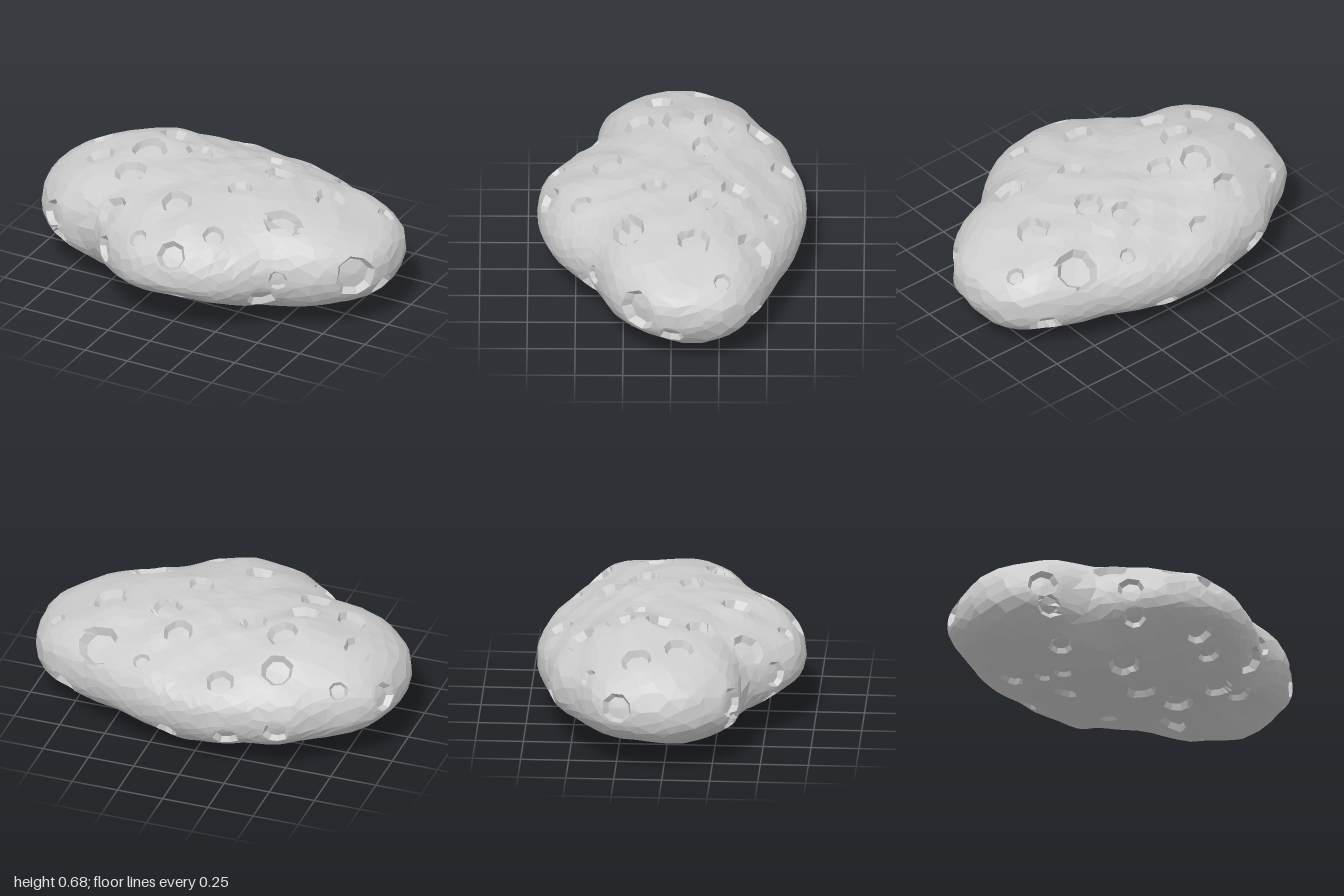
import * as THREE from 'three';
import { ConvexGeometry } from 'three/addons/geometries/ConvexGeometry.js';

const V = (x, y, z) => new THREE.Vector3(x, y, z);
const { lerp, clamp, radToDeg } = THREE.MathUtils;
const MID = 0.35;
const POWER = 2.3;
const STEPS = 2000;

// Plan outline, x and z
const outline = [
  [0.995, -0.12], [0.97, 0.08], [0.86, 0.23], [0.75, 0.33], [0.53, 0.42], [0.4, 0.54], [0.25, 0.64],
  [0, 0.7], [-0.22, 0.67], [-0.37, 0.57], [-0.56, 0.4], [-0.72, 0.38], [-0.82, 0.34], [-0.95, 0.19],
  [-1, 0], [-0.95, -0.29], [-0.9, -0.37], [-0.72, -0.48], [-0.56, -0.6], [-0.4, -0.64],
  [-0.17, -0.7], [0.09, -0.69], [0.35, -0.62], [0.57, -0.53], [0.83, -0.42], [0.94, -0.31],
];

// Craters by the side they are cast from: two coordinates across that side, then radius
const craterSpots = {
  top: [[-0.17, -0.58, 0.075], [-0.44, -0.45, 0.085], [-0.39, -0.24, 0.085], [-0.21, -0.17, 0.07],
    [-0.78, -0.15, 0.08], [-0.43, -0.03, 0.09], [-0.66, 0.07, 0.08], [-0.43, 0.17, 0.085],
    [-0.42, 0.42, 0.09], [-0.07, 0.34, 0.085], [0.29, -0.52, 0.045], [0.15, -0.33, 0.08],
    [0.56, -0.44, 0.11], [0.27, -0.17, 0.08], [0.6, -0.12, 0.09], [0.17, 0.09, 0.07],
    [0.5, 0.23, 0.095], [0.22, 0.47, 0.06], [0.84, -0.27, 0.05], [-0.76, -0.4, 0.05]],
  front: [[-0.8, 0.38, 0.08], [-0.76, 0.26, 0.06], [-0.38, 0.38, 0.07], [-0.6, 0.12, 0.06],
    [0.04, 0.23, 0.07], [0.17, 0.18, 0.06], [0.48, 0.25, 0.08], [0.52, 0.13, 0.06],
    [0.06, 0.49, 0.08], [-0.34, 0.24, 0.06], [-0.16, 0.52, 0.05], [0.56, 0.36, 0.05]],
  right: [[0.17, 0.36, 0.11], [0, 0.25, 0.07], [-0.42, 0.23, 0.09]],
  left: [[-0.24, 0.4, 0.08]],
  back: [[0.12, 0.2, 0.07], [-0.23, 0.25, 0.07], [-0.3, 0.15, 0.06], [-0.49, 0.3, 0.07]],
  bottom: [[-0.31, -0.14, 0.06], [-0.58, -0.25, 0.06], [0.25, 0.08, 0.075], [0.35, -0.12, 0.07],
    [-0.01, 0.12, 0.08], [0.07, -0.3, 0.045], [0.37, 0.27, 0.07], [-0.5, -0.08, 0.045],
    [-0.47, 0.06, 0.05], [-0.22, 0.27, 0.08]],
};
const rays = {
  top: (a, b, t) => V(a, t, b), bottom: (a, b, t) => V(a, -t, b),
  front: (a, b, t) => V(a, b, t), back: (a, b, t) => V(a, b, -t),
  right: (a, b, t) => V(t, b, a), left: (a, b, t) => V(-t, b, a),
};

// Seeded random numbers
function makeRandom(seed) {
  return () => (seed = (seed * 16807) % 2147483647) / 2147483647;
}

// Radius of the outline by angle: sharp at the rim, softened further in
const radii = new Array(360).fill(0);
const curve = new THREE.CatmullRomCurve3(outline.map(([x, z]) => V(x, 0, z)), true);
for (const p of curve.getPoints(3000)) {
  radii[Math.floor(radToDeg(Math.atan2(p.z, p.x)) + 360) % 360] = Math.hypot(p.x, p.z);
}
const softRadii = radii.map((_, i) => {
  let sum = 0;
  for (let k = -16; k <= 16; k++) sum += radii[(i + k + 360) % 360];
  return sum / 33;
});
function radiusAt(angle, r) {
  const d = (radToDeg(angle) + 359.5) % 360;
  const i = Math.floor(d), j = (i + 1) % 360;
  const soft = lerp(softRadii[i], softRadii[j], d - i);
  return lerp(soft, lerp(radii[i], radii[j], d - i), Math.min(1, r / soft) ** 2);
}

// Rounded side profile from rim to pole, with the sphere latitude that keeps shapes
// undistorted and the running area, so the skin can be joined up evenly on a sphere
const profile = (t) => [Math.cos(t) ** (2 / POWER), Math.sin(t) ** (2 / POWER)];
const latitudes = [0], areas = [0];
for (let i = 1, psi = 0; i <= STEPS; i++) {
  const [r0, v0] = profile(((i - 1) / STEPS) * Math.PI / 2);
  const [r1, v1] = profile((i / STEPS) * Math.PI / 2);
  const length = Math.hypot(r1 - r0, (v1 - v0) * 0.38), r = (r0 + r1) / 2;
  psi += length / r;
  latitudes.push(i < STEPS ? Math.atan(Math.sinh(psi)) : Math.PI / 2);
  areas.push(areas[i - 1] + length * r);
}
function findStep(table, value) {
  let low = 0, high = STEPS;
  while (high - low > 1) {
    const m = (low + high) >> 1;
    if (table[m] > value) high = m; else low = m;
  }
  return low + clamp((value - table[low]) / (table[high] - table[low]), 0, 1);
}
function latitudeAt(step) {
  const i = Math.min(Math.floor(step), STEPS - 1);
  return lerp(latitudes[i], latitudes[i + 1], step - i);
}
const direction = (lat, angle) => V(Math.cos(lat) * Math.cos(angle), Math.sin(lat), Math.cos(lat) * Math.sin(angle));

// Half height above or below the middle, with humps and hollows
const hump = (x, z, cx, cz, w, d) => Math.exp(-(((x - cx) / w) ** 2) - ((z - cz) / d) ** 2);
function heightAt(x, z, up) {
  if (up) {
    return 0.315 + 0.075 * hump(x, z, -0.52, -0.17, 0.2, 0.28) + 0.06 * hump(x, z, -0.88, -0.02, 0.24, 0.35)
      - 0.05 * hump(x, z, 0.1, -0.55, 0.6, 0.2) - 0.02 * hump(x, z, 0.85, -0.1, 0.2, 0.5);
  }
  return 0.285 + 0.07 * hump(x, z, 0.53, -0.17, 0.13, 0.2) + 0.075 * hump(x, z, 0.82, -0.12, 0.28, 0.35)
    + 0.03 * hump(x, z, -0.5, 0.1, 0.4, 0.3) + 0.04 * hump(x, z, -0.1, -0.6, 0.5, 0.2)
    - 0.1 * hump(x, z, 0, 0.7, 0.5, 0.28);
}

// Gentle lumps over the sphere of directions, fading at the rim
const lumps = (d) => 1 + Math.min(1, 2 * Math.abs(d.y)) * (
  0.02 * Math.sin(7 * d.x + 3 * d.z + 1) * Math.cos(6 * d.z - 5 * d.y)
  + 0.024 * Math.sin(12 * d.x - 4 * d.y + 2) * Math.sin(11 * d.z + 9 * d.y));

// Unit direction to rock surface
function surface(d) {
  const t = (findStep(latitudes, Math.asin(Math.min(1, Math.abs(d.y)))) / STEPS) * Math.PI / 2;
  const [rho, v] = profile(t);
  const f = lumps(d), angle = Math.atan2(d.z, d.x);
  let r = rho;
  for (let i = 0; i < 8; i++) r = rho * f * radiusAt(angle, r);
  const x = r * Math.cos(angle), z = r * Math.sin(angle);
  return V(x, MID + Math.sign(d.y) * v * f * heightAt(x, z, d.y > 0), z);
}
// Any point to its unit direction, and how far out it lies (1 on the surface)
function unwrap(p) {
  const r = Math.hypot(p.x, p.z), angle = Math.atan2(p.z, p.x);
  const rho = r / radiusAt(angle, r);
  const v = Math.abs(p.y - MID) / heightAt(p.x, p.z, p.y > MID);
  const t = Math.atan2(v ** (POWER / 2), rho ** (POWER / 2));
  const d = direction(latitudeAt((t / (Math.PI / 2)) * STEPS) * Math.sign(p.y - MID), angle);
  return { d, level: (rho ** POWER + v ** POWER) ** (1 / POWER) / lumps(d) };
}

function makeCrater(side, [a, b, radius]) {
  let t = 1.3;
  while (t > -0.5 && unwrap(rays[side](a, b, t)).level > 1) t -= 0.004;
  const center = surface(unwrap(rays[side](a, b, t)).d);
  const e = 0.04;
  const slope = (x, y, z) => unwrap(center.clone().add(V(x, y, z))).level - unwrap(center.clone().sub(V(x, y, z))).level;
  const normal = V(slope(e, 0, 0), slope(0, e, 0), slope(0, 0, e)).normalize();
  const spin = new THREE.Quaternion().setFromUnitVectors(V(0, 0, 1), normal);
  return { center, normal, radius, spin };
}

function makeRock() {
  const random = makeRandom(4711);
  const craters = Object.entries(craterSpots).flatMap(([side, list]) => list.map((c) => makeCrater(side, c)));
  const points = [];

  // Floor, rim and apron of each crater: polygons with a point at each corner and mid-edge
  craters.forEach((c, i) => {
    const sides = 8;
    const corners = Array.from({ length: sides }, (_, k) => {
      const angle = ((k + random() * 0.3) / sides) * Math.PI * 2;
      return V(Math.cos(angle), Math.sin(angle), 0).multiplyScalar(c.radius * (0.97 + random() * 0.1));
    });
    const ring = corners.flatMap((p, k) => [p, p.clone().lerp(corners[(k + 1) % sides], 0.5)]);
    for (const scale of [0.74, 1, 1.25]) {
      for (const corner of ring) {
        const p = corner.clone().multiplyScalar(scale).applyQuaternion(c.spin).add(c.center);
        const { d } = unwrap(p);
        const q = surface(d);
        const blocked = craters.some((o, j) => (j < i || (scale > 1 && j > i)) && q.distanceTo(o.center) < o.radius * 1.08);
        if (!blocked) points.push(d);
      }
    }
    points.push(unwrap(c.center).d);
  });

  // Even scatter over the rest of the rock
  const count = 1300;
  for (let i = 0; i < count; i++) {
    const s = 1 - (2 * (i + 0.5)) / count;
    const lat = latitudeAt(findStep(areas, (1 - Math.abs(s)) * areas[STEPS]));
    const d = direction(lat * Math.sign(s), i * 2.399963 + random() * 0.05);
    d.add(V(random() - 0.5, random() - 0.5, random() - 0.5).multiplyScalar(0.04)).normalize();
    const p = surface(d);
    if (!craters.some((c) => p.distanceTo(c.center) < c.radius * 1.4)) points.push(d);
  }

  // Join the directions into a closed skin, then push it out and sink the craters
  const geometry = new ConvexGeometry(points);
  const pos = geometry.attributes.position;
  for (let i = 0; i < pos.count; i++) {
    const p = surface(V(0, 0, 0).fromBufferAttribute(pos, i).normalize());
    const c = craters.find((o) => p.distanceTo(o.center) < o.radius * 0.84);
    if (c) p.addScaledVector(c.normal, -0.45 * c.radius);
    pos.setXYZ(i, p.x, p.y, p.z);
  }

  // Settle on the ground, centred
  geometry.computeBoundingBox();
  const mid = geometry.boundingBox.getCenter(V(0, 0, 0));
  geometry.translate(-mid.x, -geometry.boundingBox.min.y, -mid.z);
  geometry.computeVertexNormals();
  return geometry;
}

export function createModel() {
  const group = new THREE.Group();
  group.name = 'asteroid';
  const rock = new THREE.Mesh(makeRock(), new THREE.MeshStandardMaterial({ color: 0xcccccc, flatShading: true }));
  rock.name = 'crateredRock';
  group.add(rock);
  return group;
}
